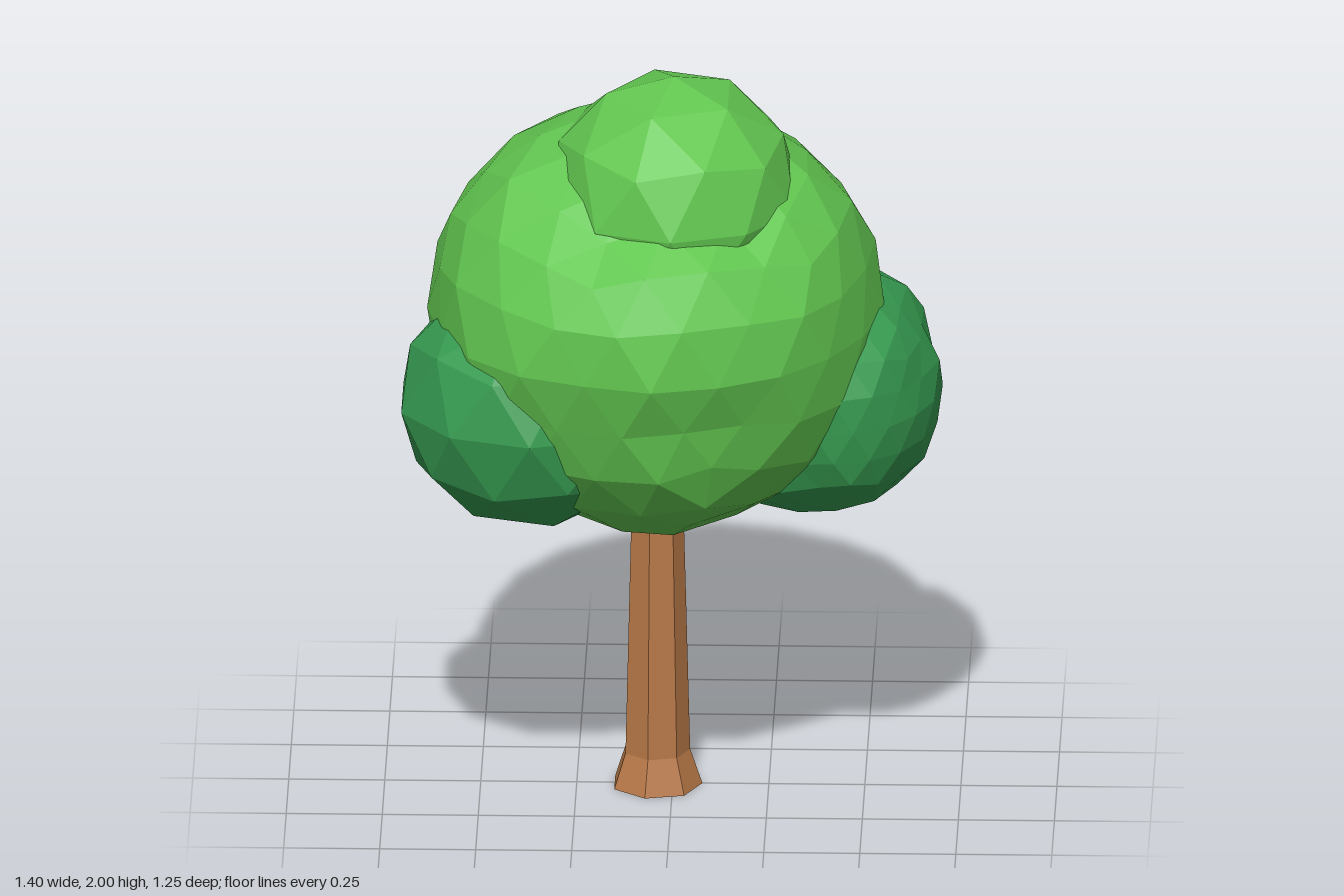
import * as THREE from 'three';

const material = (color) => new THREE.MeshStandardMaterial({ color, flatShading: true, side: THREE.DoubleSide });
const lightLeaf = material(0x62c650);
const darkLeaf = material(0x369a50);
const bark = material(0xb87948);

// Smooth repeatable bumpiness for a unit direction
function bump(v, seed) {
  return (Math.sin(v.x * 7.1 + seed) + Math.sin(v.y * 8.3 + seed * 2.1) * Math.cos(v.z * 7.7 - seed)
    + Math.sin((v.x + v.z) * 10.1 + seed * 3.7)) / 3;
}

// Faceted leaf clump with one corner pointing straight up.
// Each lobe [x, y, z, amount, width] swells or dents the clump around a direction.
function clump(name, mat, { center, radius, detail, rough = 0, seed = 0, lobes = [] }) {
  const geometry = new THREE.IcosahedronGeometry(1, detail);
  geometry.rotateZ(Math.atan(2 / (1 + Math.sqrt(5))));
  const p = geometry.attributes.position;
  const v = new THREE.Vector3();
  const dir = new THREE.Vector3();
  for (let i = 0; i < p.count; i++) {
    v.fromBufferAttribute(p, i);
    let r = 1 + rough * bump(v, seed);
    for (const [x, y, z, amount, width] of lobes) {
      const d = dir.set(x, y, z).normalize().distanceTo(v);
      r += amount * Math.exp(-((d / width) ** 2));
    }
    v.multiplyScalar(r);
    p.setXYZ(i, v.x, v.y, v.z);
  }
  geometry.scale(...radius);
  geometry.computeVertexNormals();
  const mesh = new THREE.Mesh(geometry, mat);
  mesh.name = name;
  mesh.position.set(...center);
  return mesh;
}

export function createModel() {
  const tree = new THREE.Group();
  tree.name = 'tree';

  // Seven-sided trunk with a flared foot
  const profile = [[0, 0], [0.12, 0], [0.088, 0.095], [0.07, 0.8], [0, 0.8]]
    .map(([r, y]) => new THREE.Vector2(r, y));
  const trunk = new THREE.Mesh(new THREE.LatheGeometry(profile, 7, Math.PI / 2), bark);
  trunk.name = 'trunk';
  trunk.position.x = -0.043;
  tree.add(trunk);

  // Main crown, hollowed in front of the tuft and under the front ledge
  const crownLobes = [
    [-0.2, 0.74, 0.66, -0.12, 0.3],
    [0.32, 0.74, 0.62, -0.12, 0.3],
    [-0.35, -0.25, 0.9, -0.06, 0.24],
    [0.05, -0.25, 0.97, -0.08, 0.24],
    [0.45, -0.25, 0.86, -0.06, 0.24],
    [-0.65, 0, -0.75, 0.07, 0.45],
    [0.85, 0.1, 0.5, -0.05, 0.35],
    [0.1, 0.95, -0.3, -0.05, 0.4],
  ];
  tree.add(
    clump('mainCrown', lightLeaf, {
      center: [-0.042, 1.32, 0], radius: [0.588, 0.575, 0.62], detail: 3, rough: 0.03, seed: 1.3, lobes: crownLobes,
    }),
    // Top tuft
    clump('topTuft', lightLeaf, { center: [0.005, 1.67, 0.08], radius: [0.335, 0.33, 0.355], detail: 1 }),
    // Darker side clumps
    clump('leftClump', darkLeaf, {
      center: [0.375, 1.08, -0.1], radius: [0.33, 0.33, 0.395], detail: 3, rough: 0.06, seed: 4.2,
    }),
    clump('rightClump', darkLeaf, { center: [-0.36, 1.12, 0.14], radius: [0.358, 0.335, 0.36], detail: 1 }),
  );
  return tree;
}
